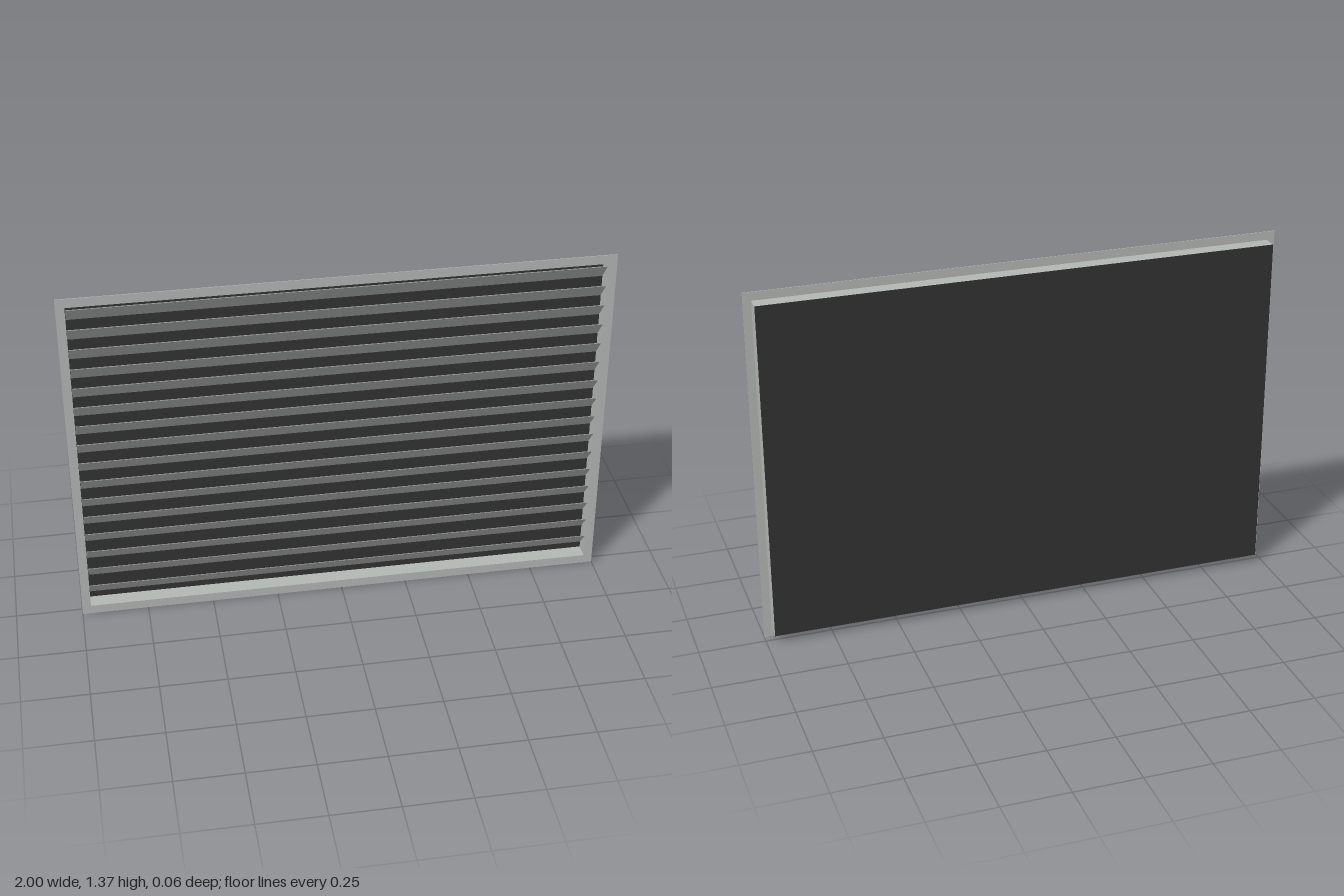
import * as THREE from 'three';

const W = 2, H = 1.367;          // flange size
const BW = 1.94, BH = 1.303;     // sleeve size
const Z = 0.03;                  // half depth
const BLADES = 16, PITCH = 0.0795;

// Rectangular ring lying in the xy plane, extruded along z
function ring(w, h, iw, ih, depth) {
  const rect = (T, a, b) => new T([
    new THREE.Vector2(-a / 2, -b / 2), new THREE.Vector2(a / 2, -b / 2),
    new THREE.Vector2(a / 2, b / 2), new THREE.Vector2(-a / 2, b / 2),
  ]);
  const shape = rect(THREE.Shape, w, h);
  shape.holes.push(rect(THREE.Path, iw, ih));
  return new THREE.ExtrudeGeometry(shape, { depth, bevelEnabled: false });
}

export function createModel() {
  const aluminium = new THREE.MeshStandardMaterial({ color: 0xb4b8b5 });
  aluminium.name = 'greyMetal';
  const black = new THREE.MeshStandardMaterial({ color: 0x333333 });
  black.name = 'blackBacking';

  const model = new THREE.Group();
  model.name = 'louvreVent';
  const add = (name, geometry, material, y, z, parent = model) => {
    const mesh = new THREE.Mesh(geometry, material);
    mesh.name = name;
    mesh.position.set(0, y, z);
    parent.add(mesh);
    return mesh;
  };

  // Thin front flange and the sleeve behind it
  add('frontFlange', ring(W, H, BW - 0.006, BH - 0.006, 0.003), aluminium, H / 2, Z - 0.003);
  add('sleeve', ring(BW, BH, BW - 0.006, BH - 0.006, 2 * Z - 0.005), aluminium, H / 2, -Z + 0.002);

  // Closed back
  add('backPanel', new THREE.BoxGeometry(BW, BH, 0.002), black, H / 2, -Z + 0.001);

  // Slanted blades: upper edge at the front, lower edge at the back
  const blades = new THREE.Group();
  blades.name = 'blades';
  model.add(blades);
  const section = new THREE.Shape([
    new THREE.Vector2(0.027, 0), new THREE.Vector2(-0.027, -0.066),
    new THREE.Vector2(-0.027, -0.069), new THREE.Vector2(0.027, -0.003),
  ]);
  const bladeGeometry = new THREE.ExtrudeGeometry(section, { depth: BW - 0.008, bevelEnabled: false });
  bladeGeometry.translate(0, 0, -(BW - 0.008) / 2);
  bladeGeometry.rotateY(-Math.PI / 2); // section x becomes z, length runs along x
  for (let i = 0; i < BLADES; i++) {
    add('blade' + (i + 1), bladeGeometry, aluminium, 1.322 - i * PITCH, 0, blades);
  }
  return model;
}
